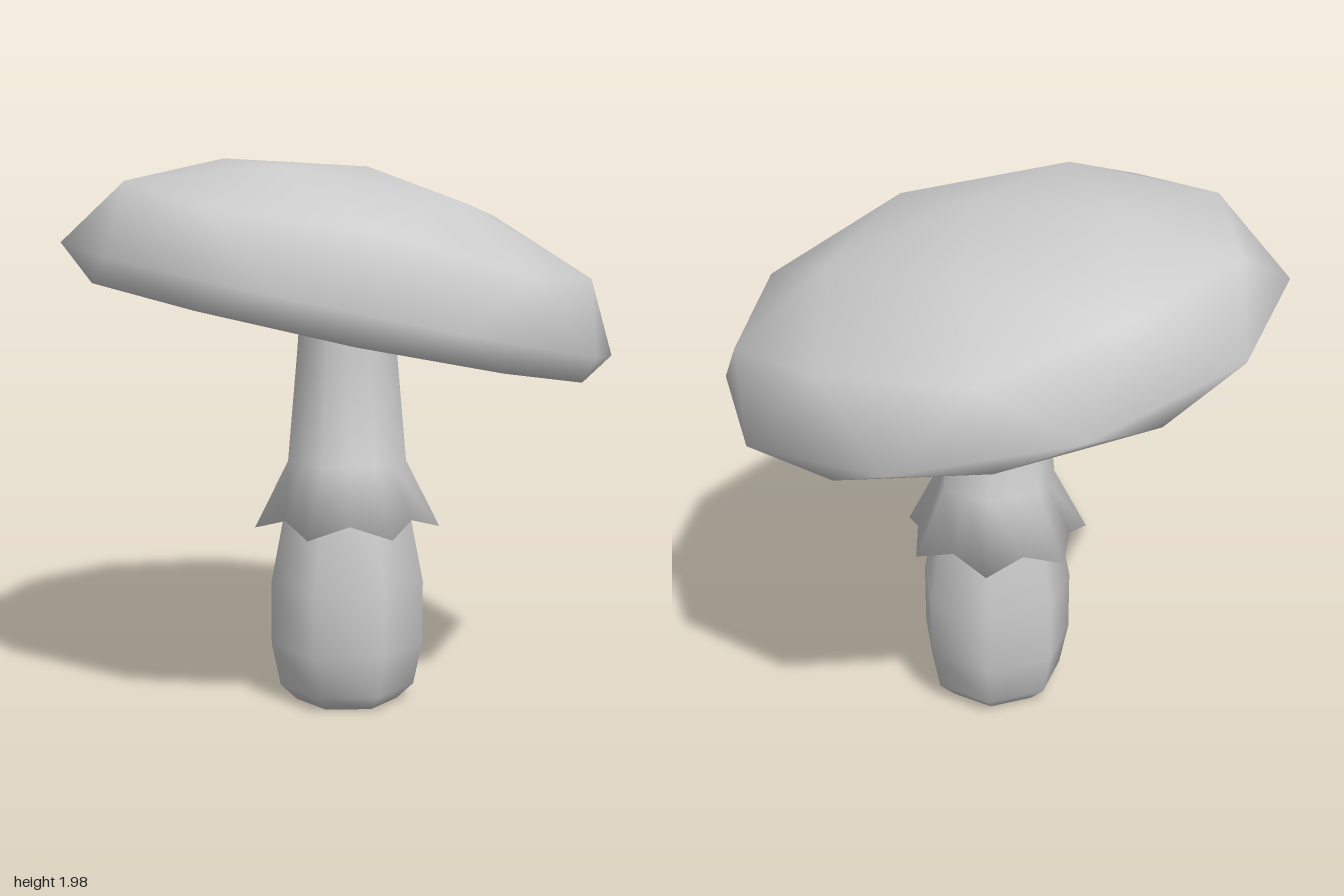
import * as THREE from 'three';
import { mergeVertices } from 'three/addons/utils/BufferGeometryUtils.js';

const material = new THREE.MeshStandardMaterial({ color: 0xcccccc });
const SIDES = 7;

// Moves each vertex by a rule, then welds the seams for smooth normals.
function shape(geometry, rule) {
  geometry.deleteAttribute('normal');
  geometry.deleteAttribute('uv');
  const position = geometry.attributes.position;
  const v = new THREE.Vector3();
  for (let i = 0; i < position.count; i++) {
    v.fromBufferAttribute(position, i);
    rule(v, i);
    position.setXYZ(i, v.x, v.y, v.z);
  }
  const welded = mergeVertices(geometry, 1e-4);
  welded.computeVertexNormals();
  return welded;
}

function part(name, geometry) {
  const mesh = new THREE.Mesh(geometry, material);
  mesh.name = name;
  return mesh;
}

const profile = (points) => points.map(([r, y]) => new THREE.Vector2(r, y));

// Faces of a faceted ball, either inside the lip ring (underside) or outside it.
function ballFaces(underside) {
  const ball = new THREE.IcosahedronGeometry(1, 1);
  ball.rotateZ(-Math.atan(2 / (1 + Math.sqrt(5))));
  const p = ball.attributes.position.array;
  const kept = [];
  for (let i = 0; i < p.length; i += 9) {
    const low = (p[i + 1] + p[i + 4] + p[i + 7]) / 3 < -0.5;
    if (low === underside) kept.push(...p.slice(i, i + 9));
  }
  return new THREE.BufferGeometry().setAttribute('position', new THREE.Float32BufferAttribute(kept, 3));
}

// Cap: ball flattened above, pushed up into a hollow below, and tilted up at the front.
function createCapPart(underside) {
  return shape(ballFaces(underside), (v) => {
    let h = v.y * 0.475;
    if (v.y < -0.95) h = 0.17;
    else if (v.y < -0.7) h = 0.08;
    else if (v.y < -0.1) h = -0.103;
    const x = v.x * 1.012;
    const z = v.z;
    v.set(x + 0.09 * h, 1.48 + 0.19 * z - 0.094 * x + h, z + 0.018 * x - 0.19 * h);
  });
}

// Lower stalk: swollen seven-sided foot that runs up inside the skirt.
function createLowerStem() {
  const points = profile([
    [0, 0], [0.19, 0], [0.252, 0.06], [0.285, 0.22], [0.285, 0.45], [0.24, 0.68], [0.19, 0.88],
  ]);
  return shape(new THREE.LatheGeometry(points, SIDES, Math.PI), () => {});
}

// Upper stalk flaring into a skirt with a pointed hem and a close lining.
function createUpperStem() {
  const points = profile([[0.2, 0.86], [0.344, 0.66], [0.22, 0.9], [0.184, 1.3], [0.152, 1.75]]);
  const lathe = new THREE.LatheGeometry(points, SIDES * 2, Math.PI);
  return shape(lathe, (v, i) => {
    const betweenPoints = Math.floor(i / points.length) % 2 === 1;
    if (!betweenPoints) return;
    const hem = i % points.length === 1;
    const shrink = hem ? 0.84 : 0.9;
    v.x *= shrink;
    v.z *= shrink;
    if (hem) v.y = 0.705;
  });
}

export function createModel() {
  const model = new THREE.Group();
  model.name = 'mushroom';

  const cap = new THREE.Group();
  cap.name = 'cap';
  cap.add(part('capTop', createCapPart(false)), part('capUnderside', createCapPart(true)));

  const stem = new THREE.Group();
  stem.name = 'stem';
  stem.add(part('lowerStem', createLowerStem()), part('upperStemAndSkirt', createUpperStem()));
  stem.position.set(0.015, 0, -0.016);

  model.add(cap, stem);
  return model;
}
